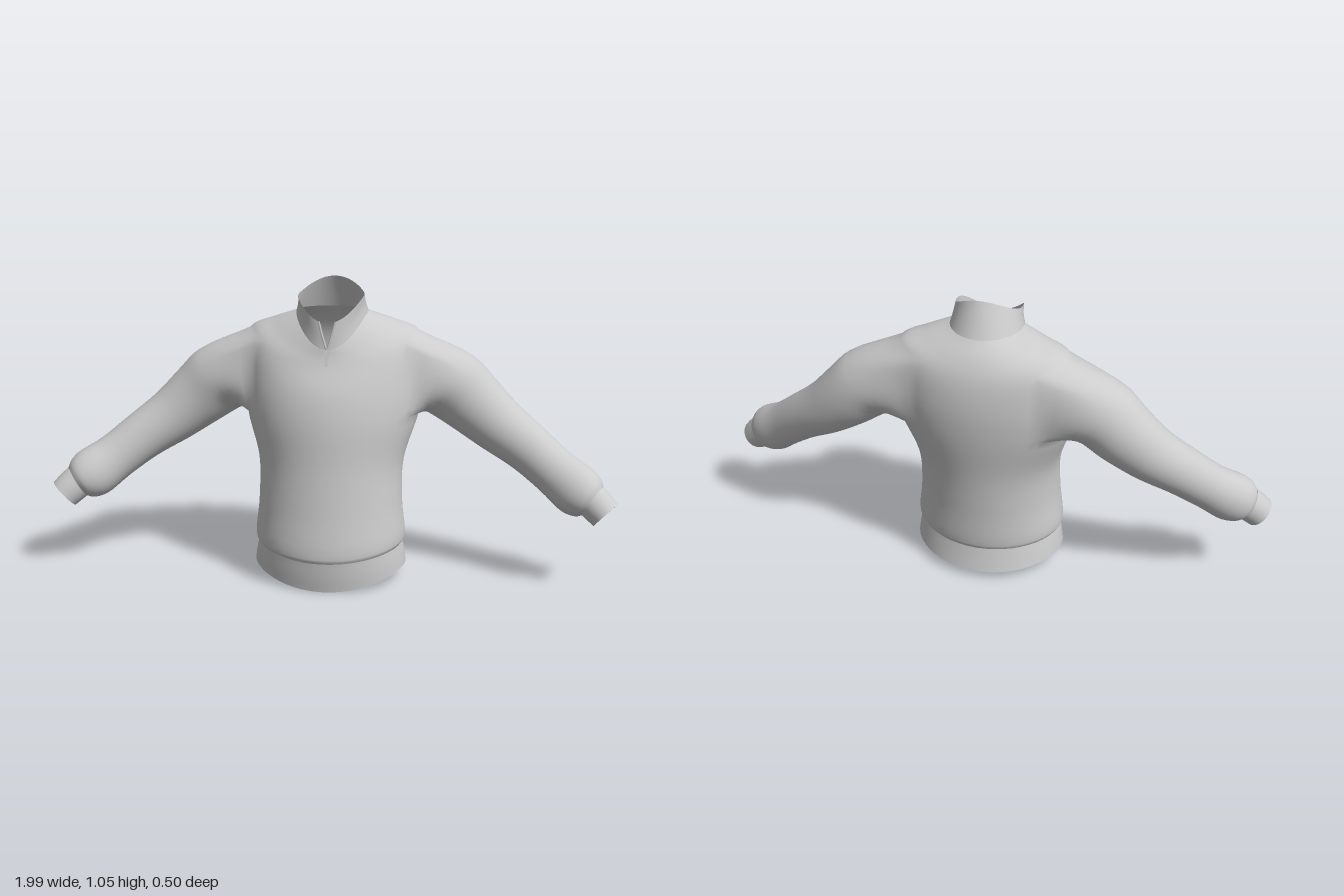
import * as THREE from 'three';

const V3 = (x, y, z) => new THREE.Vector3(x, y, z);
const COLS = 48;                 // columns around the torso, column 0 at the front
const HOLE = { c0: 8, c1: 18 };  // armhole columns on the left side
const SIDES = 40;                // vertices around a sleeve

// Horizontal body ring: half width, front z, back z, side z, front y, side y, back y.
// gap leaves an opening (in radians) either side of the front centre.
function bodyRing([w, zf, zb, zs, yf, ys, yb], gap = 0, count = COLS) {
  const ring = [];
  for (let i = 0; i < count; i++) {
    const a = gap + (i / (gap ? count - 1 : count)) * (Math.PI * 2 - 2 * gap);
    const c = Math.cos(a);
    ring.push(V3(w * Math.sin(a), ys + ((c > 0 ? yf : yb) - ys) * c * c, zs + (c > 0 ? zf - zs : zs - zb) * c));
  }
  return ring;
}

// Sleeve rings from [x, y, z, half height, half depth], square to the arm's path
function sleeveRings(keys) {
  const centre = k => V3(k[0], k[1], k[2]);
  return keys.map((k, i) => {
    const t = centre(keys[Math.min(i + 1, keys.length - 1)]).sub(centre(keys[Math.max(i - 1, 0)])).normalize();
    const up = V3(0, 0, 1).cross(t).normalize();
    const front = t.clone().cross(up);
    return Array.from({ length: SIDES }, (_, j) => {
      const a = -Math.PI / 4 - (j / SIDES) * Math.PI * 2;
      return centre(k).addScaledVector(up, k[3] * Math.sin(a)).addScaledVector(front, k[4] * Math.cos(a));
    });
  });
}

// Add smooth in-between rings, column by column
function refine(rings, sub) {
  const n = (rings.length - 1) * sub;
  const curves = rings[0].map((_, j) => new THREE.CatmullRomCurve3(rings.map(r => r[j])));
  return Array.from({ length: n + 1 }, (_, i) => curves.map(c => c.getPoint(i / n)));
}

const mirrorRings = rings => rings.map(r => r.map(p => V3(-p.x, p.y, p.z)));

// Collects points and faces of one continuous sheet of cloth
class Sheet {
  constructor() { this.pos = []; this.idx = []; }
  add(ring) {
    return ring.map(p => { this.pos.push(p.x, p.y, p.z); return this.pos.length / 3 - 1; });
  }
  skin(rows, { closed = true, flip = false, skip = () => false } = {}) {
    for (let r = 0; r < rows.length - 1; r++) {
      const n = rows[r].length;
      for (let i = 0; i < (closed ? n : n - 1); i++) {
        if (skip(r, i)) continue;
        const j = (i + 1) % n;
        const [a, b, c, d] = [rows[r][i], rows[r][j], rows[r + 1][j], rows[r + 1][i]];
        if (flip) this.idx.push(a, c, b, a, d, c);
        else this.idx.push(a, b, c, a, c, d);
      }
    }
  }
  geometry() {
    const g = new THREE.BufferGeometry();
    g.setAttribute('position', new THREE.Float32BufferAttribute(this.pos, 3));
    g.setIndex(this.idx);
    g.computeVertexNormals();
    return g;
  }
}

function loft(rings, options) {
  const s = new Sheet();
  s.skin(rings.map(r => s.add(r)), options);
  return s.geometry();
}

export function createModel() {
  const group = new THREE.Group();
  const cloth = new THREE.MeshStandardMaterial({ color: 0xcccccc, side: THREE.DoubleSide });
  cloth.name = 'light grey cloth';
  const add = (name, geometry) => {
    const m = new THREE.Mesh(geometry, cloth);
    m.name = name;
    group.add(m);
    return m;
  };

  // Torso from the hem seam up to the neck seam
  const SUB = 5;
  const neck = [0.125, 0.125, -0.16, -0.03, 0.835, 0.945, 0.94];
  const torso = refine([
    [0.255, 0.242, -0.180, 0.02, 0.108, 0.132, 0.118],
    [0.265, 0.248, -0.186, 0.02, 0.125, 0.150, 0.135],
    [0.254, 0.232, -0.195, 0.02, 0.270, 0.280, 0.270],
    [0.256, 0.215, -0.210, 0.00, 0.430, 0.430, 0.420],
    [0.305, 0.203, -0.240, -0.05, 0.590, 0.595, 0.600],
    [0.318, 0.180, -0.247, -0.075, 0.690, 0.730, 0.720],
    [0.300, 0.142, -0.233, -0.08, 0.775, 0.872, 0.825],
    [0.210, 0.130, -0.203, -0.06, 0.810, 0.915, 0.890],
    neck,
  ].map(k => bodyRing(k)), SUB);
  const r0 = 4 * SUB, r1 = 6 * SUB; // armhole rows
  const body = new Sheet();
  const rows = torso.map(r => body.add(r));
  const inHole = i => i >= HOLE.c0 && i < HOLE.c1;
  body.skin(rows, { skip: (r, i) => r >= r0 && r < r1 && (inHole(i) || inHole(COLS - 1 - i)) });

  // Armhole border, from the lower front corner towards the back, then up and round
  const border = [];
  for (let c = HOLE.c0; c < HOLE.c1; c++) border.push([r0, c]);
  for (let r = r0; r < r1; r++) border.push([r, HOLE.c1]);
  for (let c = HOLE.c1; c > HOLE.c0; c--) border.push([r1, c]);
  for (let r = r1; r > r0; r--) border.push([r, HOLE.c0]);

  // Sleeves grow out of the armholes and gather above the cuffs
  const arm = sleeveRings([
    [0.410, 0.685, -0.080, 0.128, 0.115],
    [0.490, 0.622, -0.080, 0.116, 0.104],
    [0.585, 0.545, -0.062, 0.100, 0.092],
    [0.690, 0.474, -0.028, 0.088, 0.082],
    [0.785, 0.402, 0.012, 0.084, 0.076],
    [0.862, 0.348, 0.050, 0.090, 0.080],
    [0.897, 0.328, 0.066, 0.076, 0.072],
    [0.912, 0.318, 0.072, 0.058, 0.057],
  ]);
  const sleeve = refine([border.map(([r, c]) => torso[r][c]), ...arm], 4);
  for (const side of [1, -1]) {
    const rings = side > 0 ? sleeve : mirrorRings(sleeve);
    const seam = border.map(([r, c]) => rows[r][side > 0 ? c : COLS - c]);
    body.skin([seam, ...rings.slice(1).map(r => body.add(r))], { flip: side < 0 });
  }
  add('bodyAndSleeves', body.geometry());

  // Cuffs
  const cuff = refine(sleeveRings([
    [0.905, 0.326, 0.068, 0.060, 0.058],
    [0.932, 0.302, 0.080, 0.059, 0.058],
    [0.956, 0.279, 0.090, 0.056, 0.057],
  ]), 3);
  add('leftCuff', loft(cuff));
  add('rightCuff', loft(mirrorRings(cuff), { flip: true }));

  // Hem band
  add('hemBand', loft(refine([
    [0.270, 0.230, -0.200, 0.02, 0.003, 0.055, 0.030],
    [0.264, 0.238, -0.190, 0.02, 0.055, 0.095, 0.075],
    [0.256, 0.243, -0.181, 0.02, 0.110, 0.134, 0.120],
  ].map(k => bodyRing(k)), 3)));

  // Stand-up collar with a narrow opening at the front
  const collar = refine([
    bodyRing(neck, 0.01, 61),
    bodyRing([0.117, 0.122, -0.132, -0.02, 0.882, 0.976, 1.0], 0.14, 61),
    bodyRing([0.114, 0.119, -0.105, 0.0, 0.925, 1.005, 1.055], 0.25, 61),
  ], 4);
  add('collar', loft(collar, { closed: false }));

  // Zip edges along the opening
  for (const [name, col] of [['leftZipEdge', 0], ['rightZipEdge', 60]]) {
    const path = new THREE.CatmullRomCurve3(collar.map(r => r[col]));
    add(name, new THREE.TubeGeometry(path, 12, 0.004, 6));
  }

  // Zip slider and pull tab
  const slider = add('zipSlider', new THREE.BoxGeometry(0.016, 0.02, 0.008));
  slider.position.set(0, 0.826, 0.13);
  const tab = add('zipPull', new THREE.BoxGeometry(0.009, 0.036, 0.005));
  tab.position.set(0, 0.798, 0.139);
  slider.rotation.x = tab.rotation.x = -0.2;

  return group;
}
